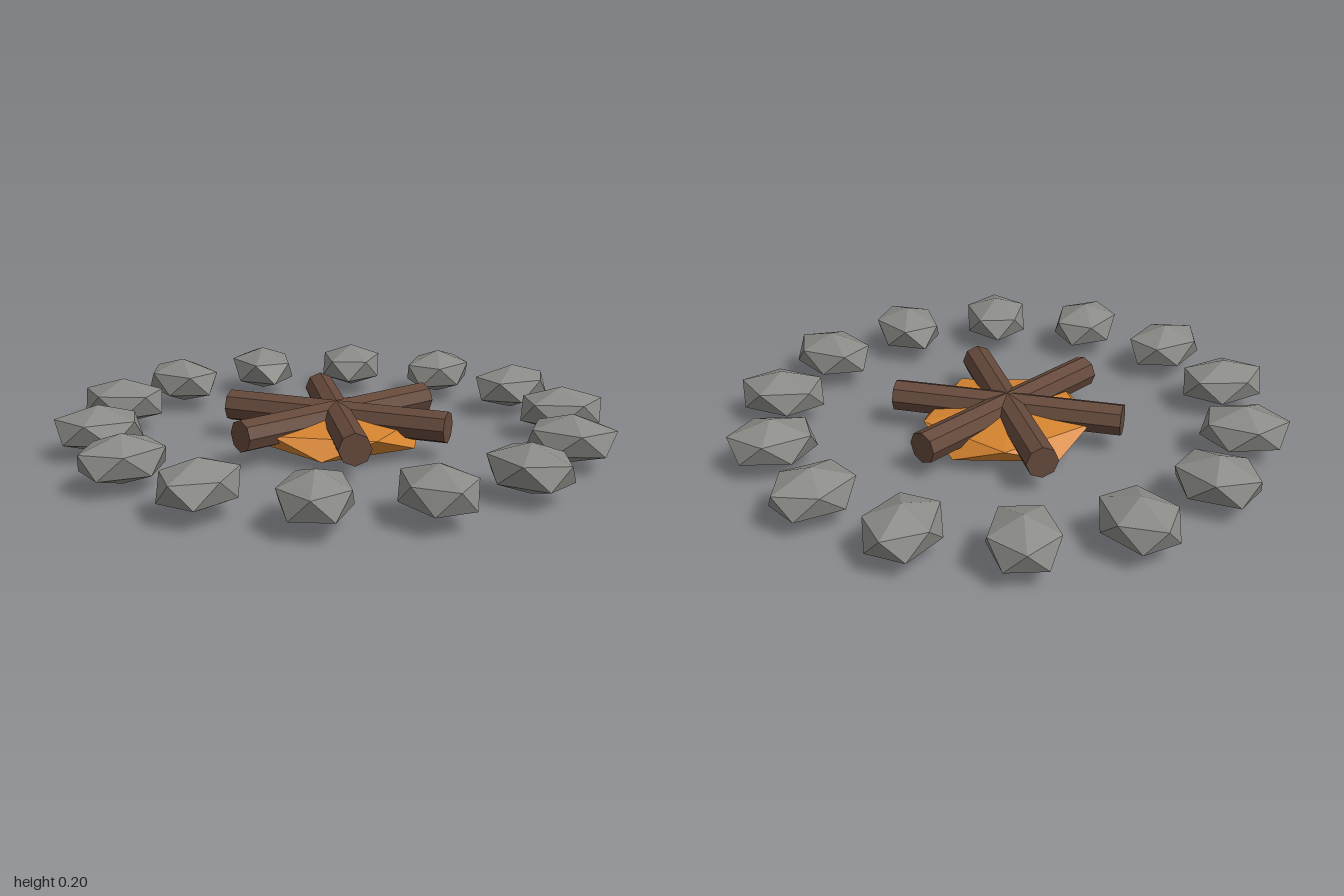
import * as THREE from 'three';

const material = (name, color) => {
  const m = new THREE.MeshStandardMaterial({ color });
  m.name = name;
  return m;
};

// Low-poly boulder: icosahedron standing on a corner, one upper corner towards +x
function boulder(rx, ry, rz) {
  const g = new THREE.IcosahedronGeometry(1, 0);
  g.rotateZ(-Math.atan(2 / (1 + Math.sqrt(5))));
  g.scale(rx, ry, rz);
  g.computeVertexNormals();
  return g;
}

export function createModel() {
  const group = new THREE.Group();
  group.name = 'campfire';
  const stoneGrey = material('stone grey', 0x8a8a86);
  const barkBrown = material('bark brown', 0x64483a);
  const emberOrange = material('ember orange', 0xd4832f);

  const add = (name, geometry, mat, x, y, z, turn) => {
    const mesh = new THREE.Mesh(geometry, mat);
    mesh.name = name;
    mesh.position.set(x, y, z);
    mesh.rotation.y = turn;
    group.add(mesh);
  };

  // Ring of stones, long axis pointing outwards
  const stone = boulder(0.173, 0.086, 0.135);
  const count = 14, ring = 0.845;
  for (let i = 0; i < count; i++) {
    const a = (i / count) * Math.PI * 2;
    add('stone' + (i + 1), stone, stoneGrey, ring * Math.cos(a), 0.11, -ring * Math.sin(a), a);
  }

  // Three crossed eight-sided logs
  const log = new THREE.CylinderGeometry(0.058, 0.058, 0.84, 8).toNonIndexed();
  log.rotateX(Math.PI / 2);
  log.computeVertexNormals();
  for (let i = 0; i < 3; i++) {
    add('log' + (i + 1), log, barkBrown, 0, 0.12, 0, (i * Math.PI) / 3);
  }

  // Flattened bed of embers under the logs
  add('emberBed', boulder(0.348, 0.074, 0.35), emberOrange, 0, 0.074, 0, 0);

  return group;
}
